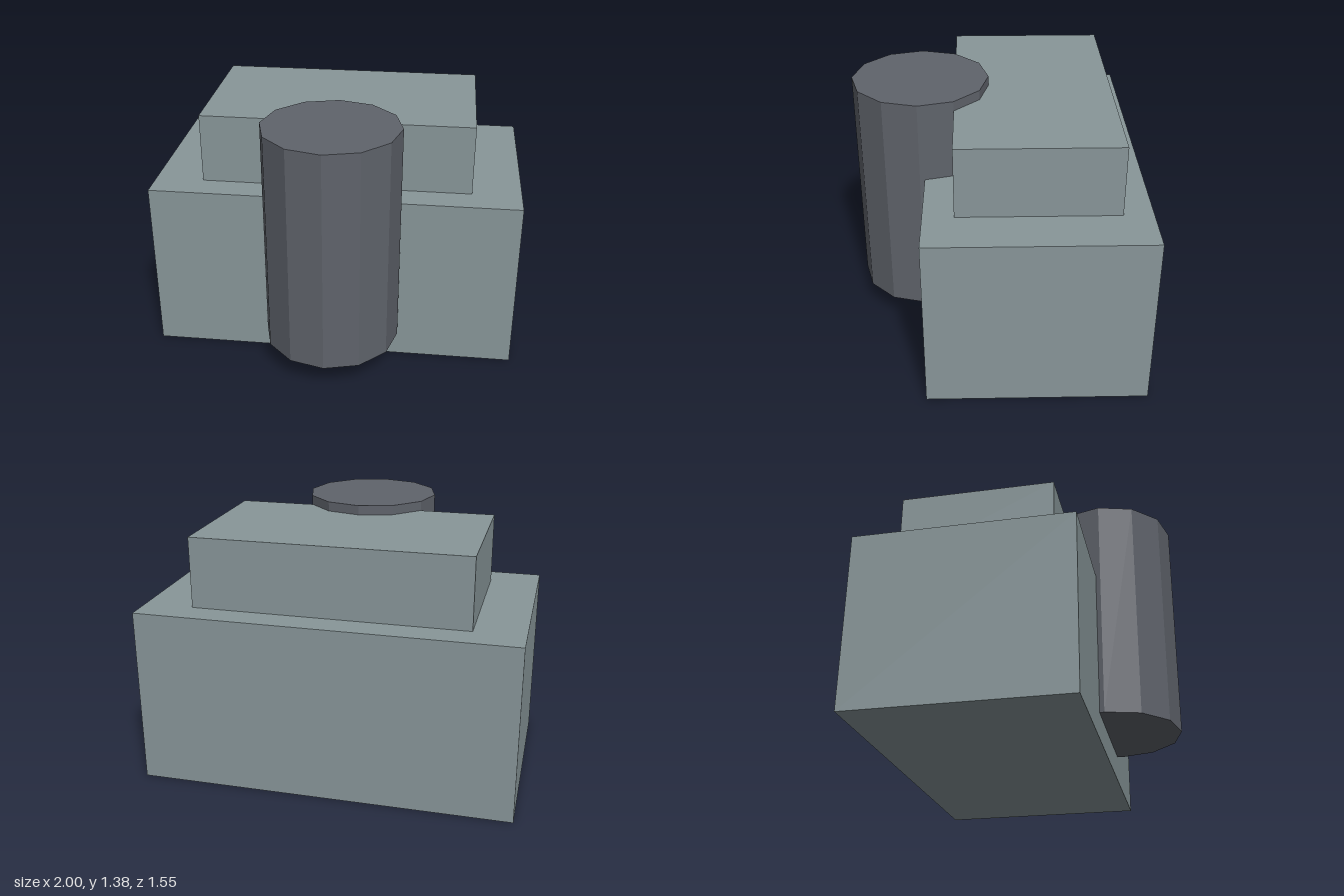
import * as THREE from 'three';

export function createModel() {
  const model = new THREE.Group();
  const paleGrey = new THREE.MeshStandardMaterial({ color: 0x889699, flatShading: true });
  paleGrey.name = 'paleGrey';
  const darkGrey = new THREE.MeshStandardMaterial({ color: 0x5f636b, flatShading: true });
  darkGrey.name = 'darkGrey';

  const add = (name, geometry, material, y, z) => {
    const mesh = new THREE.Mesh(geometry, material);
    mesh.name = name;
    mesh.position.set(0, y, z);
    model.add(mesh);
  };

  // Wide lower block
  add('baseBlock', new THREE.BoxGeometry(2, 0.95, 1.155), paleGrey, 0.475, -0.1975);
  // Smaller stepped block on top, sunk slightly into the base
  add('upperBlock', new THREE.BoxGeometry(1.47, 0.4, 0.84), paleGrey, 1.13, -0.2);
  // Twelve-sided column set into the front
  add('frontColumn', new THREE.CylinderGeometry(0.368, 0.368, 1.235, 12), darkGrey, 0.765, 0.405);

  return model;
}
